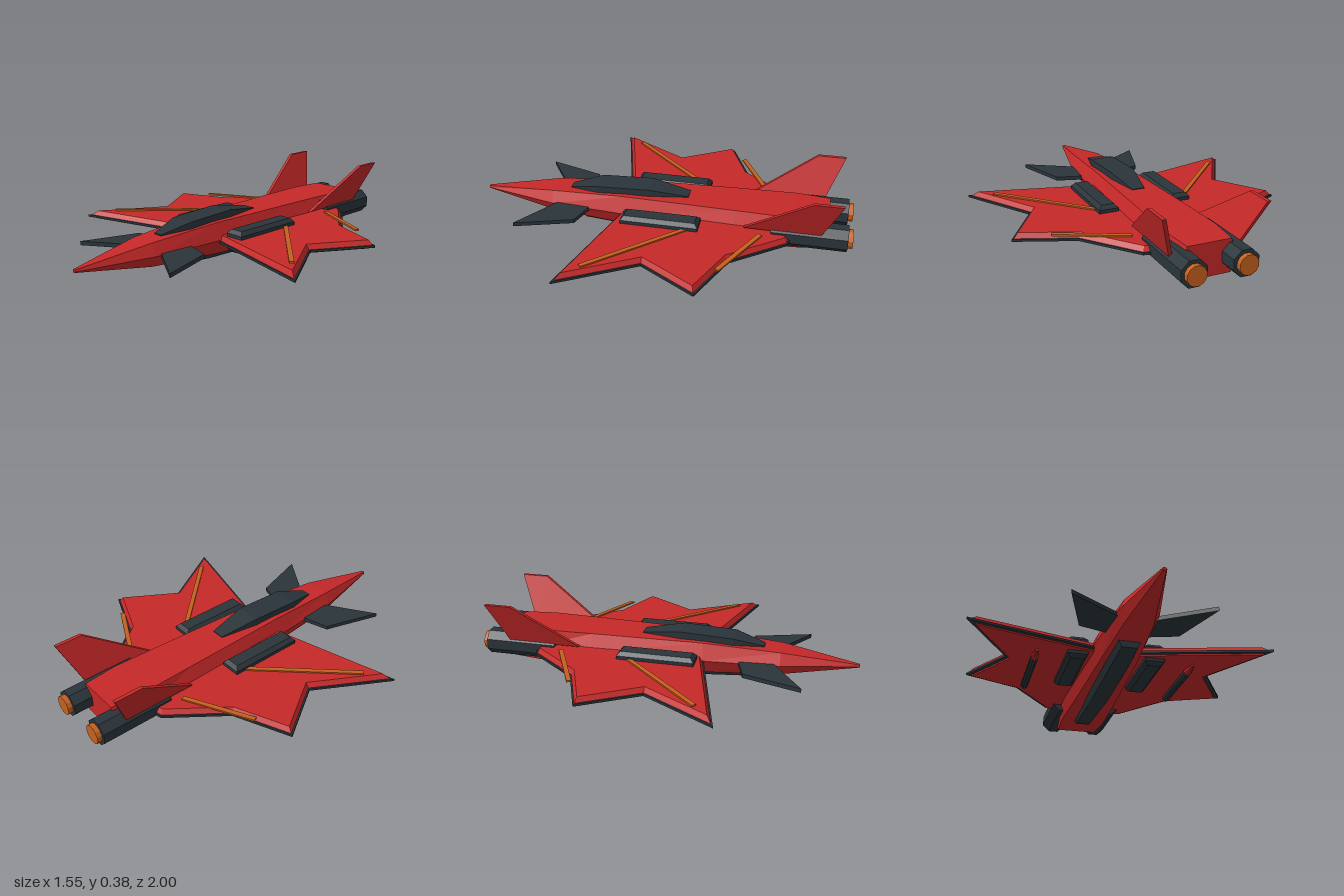
import * as THREE from 'three';

const mat = (name, color) => Object.assign(new THREE.MeshStandardMaterial({ color }), { name });

// Solid through matching point loops, capped at both ends; axis is the loft direction.
function loft(loops, axis) {
  const [u, v] = { x: [1, 2], y: [0, 2], z: [0, 1] }[axis];
  const flat = (loop) => loop.map((p) => new THREE.Vector2(p[u], p[v]));
  if (THREE.ShapeUtils.isClockWise(flat(loops[0]))) loops = loops.map((l) => [...l].reverse());
  const first = loops[0], last = loops[loops.length - 1], n = first.length;
  const tris = [];
  for (const [a, b, c] of THREE.ShapeUtils.triangulateShape(flat(first), [])) tris.push([first[a], first[c], first[b]]);
  for (const [a, b, c] of THREE.ShapeUtils.triangulateShape(flat(last), [])) tris.push([last[a], last[b], last[c]]);
  for (let k = 0; k + 1 < loops.length; k++) {
    const a = loops[k], b = loops[k + 1];
    for (let i = 0; i < n; i++) {
      const j = (i + 1) % n;
      tris.push([a[i], a[j], b[j]], [a[i], b[j], b[i]]);
    }
  }
  // turn the solid outwards if its signed volume is negative
  let volume = 0;
  const A = new THREE.Vector3(), B = new THREE.Vector3(), C = new THREE.Vector3();
  for (const [a, b, c] of tris) volume += A.fromArray(a).dot(B.fromArray(b).cross(C.fromArray(c)));
  if (volume < 0) tris.forEach((t) => t.reverse());
  const geo = new THREE.BufferGeometry();
  geo.setAttribute('position', new THREE.Float32BufferAttribute(tris.flat(2), 3));
  geo.computeVertexNormals();
  return geo;
}

// Move every edge of an [x, z] outline inwards by d, with mitred corners.
function inset(pts, d) {
  const cw = THREE.ShapeUtils.isClockWise(pts.map((p) => new THREE.Vector2(...p))) ? -1 : 1;
  const normal = (a, b) => {
    const l = Math.hypot(b[0] - a[0], b[1] - a[1]);
    return [(-(b[1] - a[1]) / l) * cw, ((b[0] - a[0]) / l) * cw];
  };
  return pts.map((p, i) => {
    const m = normal(pts[(i + pts.length - 1) % pts.length], p);
    const n = normal(p, pts[(i + 1) % pts.length]);
    const k = d / (1 + m[0] * n[0] + m[1] * n[1]);
    return [p[0] + (m[0] + n[0]) * k, p[1] + (m[1] + n[1]) * k];
  });
}

// Faceted cylinder lying along z, running from z0 (radius r0) back to z1 (radius r1).
function tube(r0, r1, z0, z1, sides, x, y) {
  const geo = new THREE.CylinderGeometry(r0, r1, z0 - z1, sides).toNonIndexed();
  geo.rotateY(Math.PI / sides).rotateX(Math.PI / 2).translate(x, y, (z0 + z1) / 2);
  geo.computeVertexNormals();
  return geo;
}

export function createModel() {
  const red = mat('red paint', 0xc62828);
  const dark = mat('dark panels', 0x2a343a);
  const orange = mat('orange trim', 0xc4601d);
  const model = new THREE.Group();
  model.name = 'jetFighter';
  const add = (name, geo, material) => {
    const mesh = new THREE.Mesh(geo, material);
    mesh.name = name;
    model.add(mesh);
  };

  // Fuselage: hexagonal sections [z, middle half width, flat half width, bottom, top]
  const hull = [
    [1, 0.01, 0.007, 0.12, 0.134],
    [0.6, 0.1, 0.07, 0.067, 0.187],
    [0.2, 0.13, 0.095, 0.046, 0.211],
    [-0.4, 0.157, 0.118, 0.035, 0.215],
    [-0.7, 0.15, 0.128, 0.038, 0.215],
    [-0.875, 0.138, 0.113, 0.045, 0.212],
  ];
  add('fuselage', loft(hull.map(([z, m, w, lo, hi]) => [
    [m, 0.125, z], [w, hi, z], [-w, hi, z], [-m, 0.125, z], [-w, lo, z], [w, lo, z],
  ]), 'z'), red);

  // Canopy and belly keel: four-sided sections [z, bottom half width, top half width, bottom, top]
  const block = (rows) => loft(rows.map(([z, b, t, lo, hi]) =>
    [[-b, lo, z], [b, lo, z], [t, hi, z], [-t, hi, z]]), 'z');
  add('canopy', block([
    [0.51, 0.025, 0.025, 0.16, 0.197],
    [0.35, 0.067, 0.067, 0.17, 0.238],
    [0.07, 0.067, 0.067, 0.18, 0.25],
    [-0.14, 0.035, 0.035, 0.18, 0.217],
  ]), dark);
  add('bellyKeel', block([
    [0.43, 0.04, 0.06, 0.025, 0.07],
    [0.2, 0.045, 0.07, 0.01, 0.06],
    [-0.22, 0.045, 0.07, 0, 0.06],
    [-0.67, 0.04, 0.06, 0.02, 0.06],
  ]), dark);

  const wingOutline = [[0.05, 0.19], [0.775, 0.38], [0.55, 0], [0.73, -0.29], [0.44, -0.41], [0.23, -0.68], [0.05, -0.72]];
  const canardOutline = [[0.05, 0.37], [0.25, 0.43], [0.345, 0.73], [0.05, 0.54]];
  const finOutline = [[0.16, -0.45], [0.385, -0.79], [0.385, -0.935], [0.16, -0.84]]; // [y, z]
  const stripes = [[0.25, -0.16, 0.66, 0.27], [0.22, -0.54, 0.56, -0.37]]; // x, z to x, z

  for (const s of [1, -1]) {
    const side = s > 0 ? 'left' : 'right';
    const at = (pts, y) => pts.map(([x, z]) => [x * s, y, z]);

    // Wing: dark edge plate, bevelled red upper skin, thin red lower skin
    add(side + 'WingEdge', loft([at(wingOutline, 0.11), at(wingOutline, 0.122)], 'y'), dark);
    add(side + 'WingTop', loft([at(inset(wingOutline, 0.008), 0.122), at(inset(wingOutline, 0.023), 0.147)], 'y'), red);
    add(side + 'WingUnderside', loft([at(inset(wingOutline, 0.02), 0.102), at(inset(wingOutline, 0.02), 0.11)], 'y'), red);

    // Orange stripes on the wing
    for (const [x0, z0, x1, z1] of stripes) {
      const geo = new THREE.BoxGeometry(Math.hypot(x1 - x0, z1 - z0), 0.009, 0.024);
      geo.rotateY(-Math.atan2(z1 - z0, (x1 - x0) * s));
      geo.translate(((x0 + x1) / 2) * s, 0.15, (z0 + z1) / 2);
      add(side + 'WingStripe', geo, orange);
    }

    // Canard
    add(side + 'Canard', loft([at(canardOutline, 0.112), at(canardOutline, 0.133)], 'y'), dark);

    // Chamfered pod through the wing
    const podBase = [[0.15, 0.18], [0.255, 0.18], [0.255, -0.225], [0.15, -0.225]];
    const podEnd = inset(podBase, 0.018);
    add(side + 'Pod', loft([at(podEnd, 0.065), at(podBase, 0.085), at(podBase, 0.165), at(podEnd, 0.185)], 'y'), dark);

    // Missile slung below the wing
    add(side + 'MissileBody', tube(0.02, 0.02, 0.09, -0.3, 8, 0.41 * s, 0.083), dark);
    add(side + 'MissileTip', tube(0.008, 0.021, 0.18, 0.09, 8, 0.41 * s, 0.083), red);

    // Engine and glowing nozzle
    add(side + 'Engine', tube(0.07, 0.07, -0.59, -0.975, 8, 0.13 * s, 0.13), dark);
    add(side + 'Nozzle', tube(0.05, 0.05, -0.96, -1, 12, 0.13 * s, 0.13), orange);

    // Tail fin, leaning outwards
    const fin = (x) => finOutline.map(([y, z]) => [(x + (y - 0.16) * 0.37) * s, y, z]);
    add(side + 'TailFin', loft([fin(0.165), fin(0.184)], 'x'), red);
  }
  return model;
}
